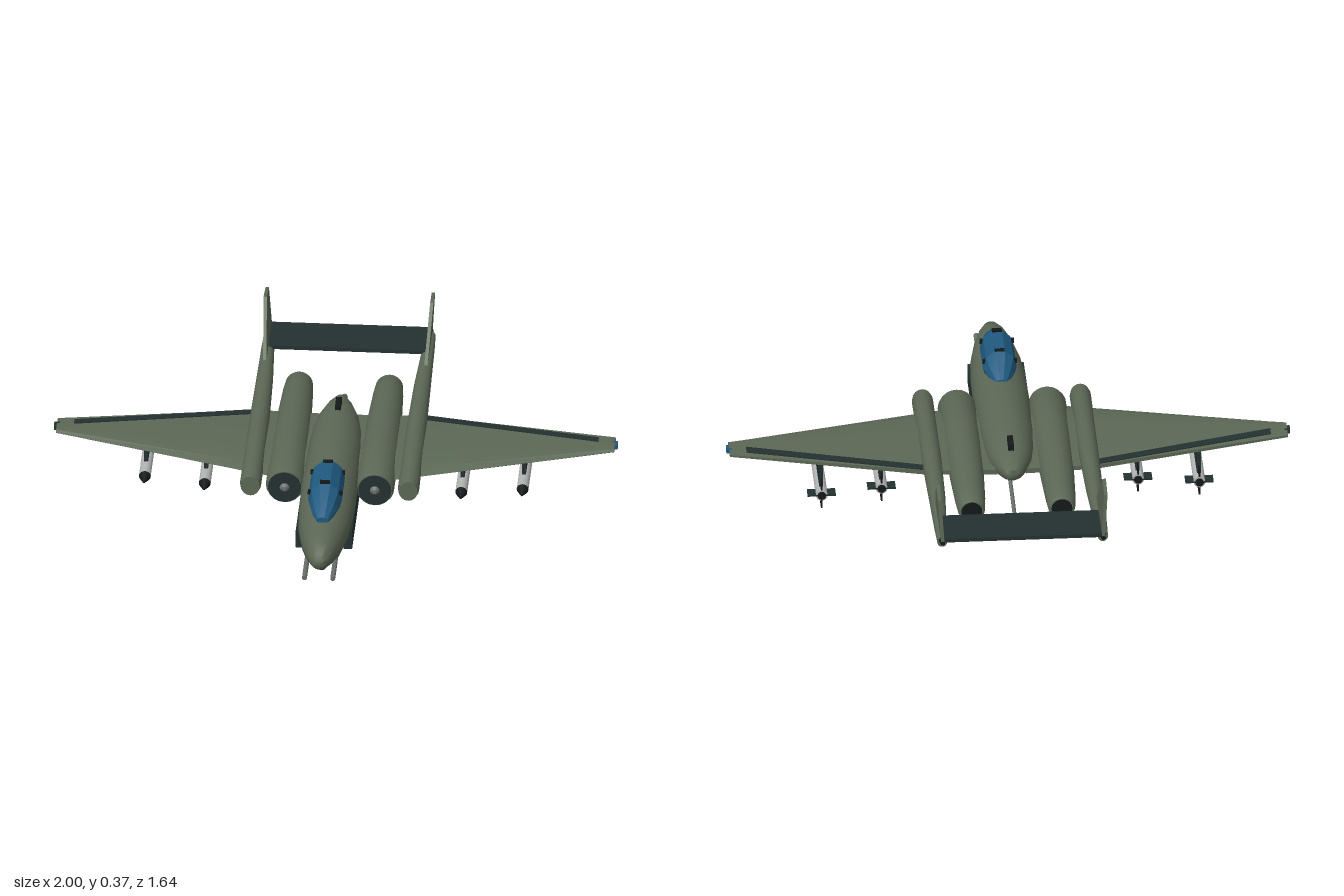
import * as THREE from 'three';
import { toCreasedNormals } from 'three/addons/utils/BufferGeometryUtils.js';

const mat = (name, color) => {
  const m = new THREE.MeshStandardMaterial({ color });
  m.name = name;
  return m;
};

// Capped skin over a list of rings (each a list of [x, y, z]); winding is fixed by signed volume
function loft(rings, crease = 0.7) {
  const n = rings[0].length, last = rings.length - 1;
  const pos = rings.flat(2), idx = [];
  for (let i = 0; i < last; i++) {
    for (let j = 0; j < n; j++) {
      const a = i * n + j, b = i * n + (j + 1) % n;
      idx.push(a, a + n, b, b, a + n, b + n);
    }
  }
  for (const [r, flip] of [[0, false], [last, true]]) {
    const c = pos.length / 3;
    for (let k = 0; k < 3; k++) pos.push(rings[r].reduce((s, p) => s + p[k], 0) / n);
    for (let j = 0; j < n; j++) {
      const a = r * n + j, b = r * n + (j + 1) % n;
      idx.push(c, flip ? b : a, flip ? a : b);
    }
  }
  const v = (i) => new THREE.Vector3(pos[i * 3], pos[i * 3 + 1], pos[i * 3 + 2]);
  let volume = 0;
  for (let i = 0; i < idx.length; i += 3) volume += v(idx[i]).dot(v(idx[i + 1]).cross(v(idx[i + 2])));
  if (volume < 0) idx.reverse();
  const g = new THREE.BufferGeometry();
  g.setAttribute('position', new THREE.Float32BufferAttribute(pos, 3));
  g.setIndex(idx);
  return toCreasedNormals(g, crease);
}

// Body along z from elliptical sections [z, cx, cy, rx, ry]
const body = (sections, sides = 20, crease) => loft(sections.map(([z, cx, cy, rx, ry]) =>
  Array.from({ length: sides }, (_, j) => {
    const a = (j / sides) * Math.PI * 2;
    return [cx + Math.cos(a) * rx, cy + Math.sin(a) * ry, z];
  })), crease);

export function createModel() {
  const root = new THREE.Group();
  root.name = 'aircraft';
  const green = mat('olive green', 0x5c6856);
  const dark = mat('dark slate', 0x243131);
  const black = mat('near black', 0x14191b);
  const blue = mat('canopy blue', 0x1f5a80);
  const grey = mat('missile grey', 0xb4b6b4);
  const steel = mat('steel grey', 0x6a706c);

  const add = (name, geo, material, x = 0, y = 0, z = 0, parent = root) => {
    const m = new THREE.Mesh(geo, material);
    m.name = name;
    m.position.set(x, y, z);
    parent.add(m);
    return m;
  };
  const box = (w, h, d) => new THREE.BoxGeometry(w, h, d);
  const rod = (front, back, len, sides = 16) => new THREE.CylinderGeometry(front, back, len, sides).rotateX(Math.PI / 2);

  // Fuselage
  add('fuselage', body([
    [0.795, 0, 0.145, 0.014, 0.015], [0.78, 0, 0.145, 0.03, 0.032], [0.73, 0, 0.144, 0.05, 0.053],
    [0.66, 0, 0.138, 0.07, 0.074], [0.55, 0, 0.137, 0.09, 0.083], [0.42, 0, 0.14, 0.098, 0.088],
    [0.25, 0, 0.146, 0.1, 0.093], [0.0, 0, 0.148, 0.095, 0.088], [-0.12, 0, 0.155, 0.086, 0.078],
    [-0.2, 0, 0.162, 0.073, 0.062], [-0.28, 0, 0.17, 0.045, 0.04], [-0.325, 0, 0.175, 0.022, 0.02],
  ], 24, 1.2), green);
  add('dorsalAntenna', box(0.02, 0.025, 0.07), black, 0, 0.23, -0.19);
  add('chinFairing', body([[0.69, 0, 0.07, 0.015, 0.01], [0.63, 0, 0.06, 0.03, 0.018],
    [0.57, 0, 0.062, 0.025, 0.008]], 12), black);
  add('bellyPanel', box(0.06, 0.012, 0.4), dark, 0, 0.055, 0.3);

  // Faceted canopy with frame fittings
  add('canopy', body([
    [0.62, 0, 0.222, 0.022, 0.012], [0.57, 0, 0.228, 0.042, 0.038], [0.495, 0, 0.235, 0.06, 0.068],
    [0.34, 0, 0.238, 0.06, 0.069], [0.29, 0, 0.235, 0.045, 0.042], [0.24, 0, 0.23, 0.022, 0.015],
  ], 10, 0.3), blue);
  for (const z of [0.49, 0.345]) {
    add('canopyLatch', box(0.035, 0.01, 0.012), black, 0, 0.305, z);
    for (const s of [-1, 1]) add('canopySideLatch', box(0.012, 0.014, 0.014), black, s * 0.055, 0.262, z);
  }

  // Arrestor hook
  const hook = new THREE.CatmullRomCurve3([[0.02, 0.08], [-0.25, 0.066], [-0.48, 0.052], [-0.505, 0.06], [-0.53, 0.078]]
    .map(([z, y]) => new THREE.Vector3(0, y, z)));
  add('arrestorHook', new THREE.TubeGeometry(hook, 24, 0.007, 8), steel);
  add('hookTip', box(0.016, 0.022, 0.035), black, 0, 0.066, -0.512).rotation.x = 0.7;

  // Wing section at span x: [centre height, leading z, trailing z, half thickness]
  const wingAt = (x) => {
    const t = (x - 0.3) / 0.69;
    return [0.156 + 0.02 * t, 0.175 - 0.193 * t, x < 0.3 ? -0.25 : -0.25 + 0.135 * t, 0.02 - 0.01 * t];
  };
  const airfoil = [[0, 0], [0.1, 0.65], [0.35, 1], [1, 0.4], [1, -0.4], [0.35, -1], [0.1, -0.65]];
  const wingRing = (s, x) => {
    const [y, lead, trail, h] = wingAt(x);
    return airfoil.map(([f, k]) => [s * x, y + k * h, lead + (trail - lead) * f]);
  };
  // Thin strip on the rear upper wing surface
  const stripRing = (s, x, z0, z1) => {
    const [y, lead, trail, h] = wingAt(x);
    const top = (z) => y + h * (1 - 0.6 * ((z - lead) / (trail - lead) - 0.35) / 0.65);
    return [[z0, 0.004], [z1, 0.004], [z1, -0.002], [z0, -0.002]].map(([z, d]) => [s * x, top(z) + d, z]);
  };

  const missile = (x, z) => {
    const g = new THREE.Group();
    g.name = 'missile';
    g.position.set(x, 0.05, z);
    root.add(g);
    add('missileBody', rod(0.021, 0.021, 0.25), grey, 0, 0, -0.075, g);
    add('missileNose', rod(0.003, 0.021, 0.045), black, 0, 0, 0.0725, g);
    add('missileTail', rod(0.015, 0.015, 0.006), black, 0, 0, -0.202, g);
    add('verticalFins', box(0.006, 0.1, 0.09), black, 0, 0, -0.155, g);
    add('horizontalFins', box(0.1, 0.006, 0.045), dark, 0, 0, -0.178, g);
    add('pylon', box(0.014, 0.095, 0.15), dark, 0, 0.063, -0.095, g);
  };

  for (const s of [-1, 1]) {
    // Nose guns and side panels
    add('noseGun', rod(0.009, 0.009, 0.3, 10), steel, s * 0.05, 0.1, 0.67);
    add('sidePanel', box(0.03, 0.068, 0.5), dark, s * 0.085, 0.103, 0.3);

    // Engine nacelle with intake and exhaust
    const x = s * 0.16;
    add('nacelle', body([
      [0.252, x, 0.142, 0.062, 0.062], [0.235, x, 0.142, 0.068, 0.068], [0.0, x, 0.142, 0.068, 0.067],
      [-0.25, x, 0.142, 0.061, 0.06], [-0.42, x, 0.14, 0.054, 0.052], [-0.495, x, 0.138, 0.048, 0.046],
      [-0.508, x, 0.138, 0.042, 0.04],
    ]), green);
    add('intake', rod(0.059, 0.059, 0.008, 20), dark, x, 0.142, 0.252);
    add('intakeHub', rod(0.008, 0.02, 0.014), steel, x, 0.142, 0.26);
    add('exhaust', rod(0.037, 0.037, 0.008, 20), black, x, 0.138, -0.508);

    // Tail boom
    add('tailBoom', body([
      [0.28, s * 0.28, 0.157, 0.034, 0.038], [0.26, s * 0.28, 0.157, 0.038, 0.042],
      [-0.15, s * 0.279, 0.163, 0.036, 0.04], [-0.45, s * 0.28, 0.172, 0.03, 0.032],
      [-0.7, s * 0.284, 0.178, 0.022, 0.022], [-0.79, s * 0.285, 0.18, 0.018, 0.02],
    ], 16), green);
    add('boomTip', rod(0.012, 0.008, 0.03, 10), black, s * 0.285, 0.188, -0.803);

    // Fin, leaning slightly outward
    const fin = [[-0.53, 0.19], [-0.705, 0.365], [-0.798, 0.352], [-0.818, 0.19]];
    add('tailFin', loft([-0.006, 0.006].map((d) =>
      fin.map(([z, y]) => [s * (0.285 + (y - 0.19) * 0.06 + d), y, z])), 0.4), green);

    // Wing, control strip and tip light
    add('wing', loft([0.05, 0.3, 0.99].map((w) => wingRing(s, w)), 0.35), green);
    add('aileron', loft([stripRing(s, 0.3, -0.218, -0.248), stripRing(s, 0.93, -0.072, -0.104)], 0.3), dark);
    add('wingTipLight', box(0.02, 0.016, 0.032), s > 0 ? blue : dark, s * 0.99, 0.176, -0.067);

    // Underwing stores
    missile(s * 0.455, 0.035);
    missile(s * 0.67, 0);
  }

  // Tailplane between the booms
  add('tailplane', box(0.57, 0.014, 0.17), dark, 0, 0.196, -0.727);
  return root;
}
